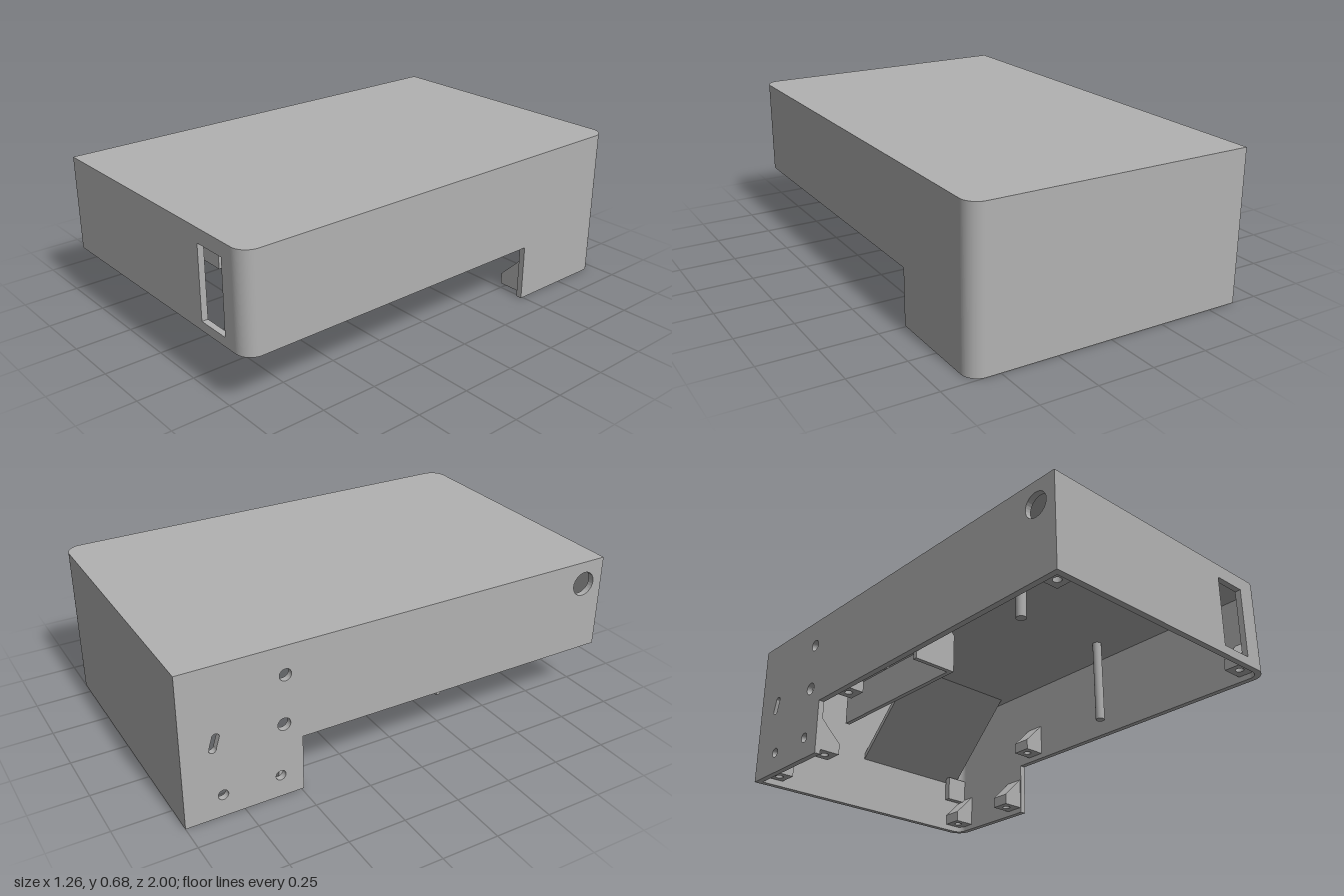
import * as THREE from 'three';

const grey = new THREE.MeshStandardMaterial({ color: 0xb2b2b2, side: THREE.DoubleSide });
grey.name = 'housing grey';

const W = 0.63, L = 1, TOP = 0.675, ROOF = 0.645, STEP = 0.25, STEP_Z = -0.49;
const T = 0.027, R = 0.07;

function poly(points) {
  return new THREE.Shape(points.map(([x, y]) => new THREE.Vector2(x, y)));
}

function circle(x, y, r) {
  return new THREE.Path().absarc(x, y, r, 0, Math.PI * 2, true);
}

function extrude(shape, depth) {
  return new THREE.ExtrudeGeometry(shape, { depth, bevelEnabled: false, curveSegments: 14 });
}

export function createModel() {
  const model = new THREE.Group();
  model.name = 'openBottomHousing';

  const add = (name, geometry, x = 0, y = 0, z = 0, parent = model) => {
    const mesh = new THREE.Mesh(geometry, grey);
    mesh.name = name;
    mesh.position.set(x, y, z);
    parent.add(mesh);
    return mesh;
  };
  // Shape drawn as (z, y), thickened towards -x
  const sideways = (shape, depth) => extrude(shape, depth).rotateY(-Math.PI / 2);
  // Shape drawn as (x, -z), thickened upwards
  const upward = (shape, depth) => extrude(shape, depth).rotateX(-Math.PI / 2);

  // Roof with two rounded corners
  const roof = new THREE.Shape();
  roof.moveTo(-W, -L);
  roof.lineTo(W - R, -L);
  roof.absarc(W - R, -L + R, R, -Math.PI / 2, 0, false);
  roof.absarc(W - R, L - R, R, 0, Math.PI / 2, false);
  roof.lineTo(-W, L);
  roof.closePath();
  add('roof', upward(roof, TOP - ROOF), 0, ROOF, 0);

  // Stepped side walls
  const sideProfile = (end) => poly([
    [-end, 0], [STEP_Z, 0], [STEP_Z, STEP], [end, STEP], [end, ROOF], [-end, ROOF],
  ]);
  add('plainSideWall', sideways(sideProfile(L - R), T), W);

  const drilled = sideProfile(L);
  const drillings = [
    [0.9, 0.57, 0.055], [-0.56, 0.55, 0.026], [-0.57, 0.333, 0.028],
    [-0.59, 0.1, 0.022], [-0.837, 0.1, 0.022],
  ];
  for (const [z, y, r] of drillings) drilled.holes.push(circle(z, y, r));
  const slot = new THREE.Path();
  slot.absarc(-0.855, 0.37, 0.016, 0, Math.PI, false);
  slot.absarc(-0.87, 0.32, 0.016, Math.PI, Math.PI * 2, false);
  slot.closePath();
  drilled.holes.push(slot);
  add('drilledSideWall', sideways(drilled, T), -W + T);

  // Front wall with a window, and tall back wall
  const x0 = -W + T, x1 = W - R;
  const front = poly([[x0, STEP], [x1, STEP], [x1, ROOF], [x0, ROOF]]);
  front.holes.push(poly([[0.34, 0.29], [0.34, 0.612], [0.495, 0.612], [0.495, 0.29]]));
  add('frontWall', extrude(front, T), 0, 0, L - T);
  add('backWall', extrude(poly([[x0, 0], [x1, 0], [x1, ROOF], [x0, ROOF]]), T), 0, 0, -L);

  // Rounded corners between walls
  for (const [name, side, bottom] of [['backCorner', 1, 0], ['frontCorner', -1, STEP]]) {
    const start = side > 0 ? 0 : -Math.PI / 2;
    const ring = new THREE.Shape();
    ring.absarc(0, 0, R, start, start + Math.PI / 2, false);
    ring.absarc(0, 0, R - T, start + Math.PI / 2, start, true);
    ring.closePath();
    add(name, upward(ring, ROOF - bottom), W - R, bottom, -side * (L - R));
  }

  // Screw tabs with a sloped support above each
  const tabBase = poly([[0, -0.045], [0.1, -0.045], [0.1, 0.045], [0, 0.045]]);
  tabBase.holes.push(circle(0.055, 0, 0.018));
  const baseGeometry = upward(tabBase, 0.05);
  const wedgeGeometry = extrude(poly([[0, 0.05], [0.1, 0.05], [0, 0.15]]), 0.09);
  const tabs = [[0.025, -0.92], [0.025, -0.54], [0.275, -0.38], [0.275, 0.92]];
  for (const side of [-1, 1]) {
    for (const [y, z] of tabs) {
      const tab = new THREE.Group();
      tab.name = 'screwTab';
      tab.position.set(side * (W - T), y, z);
      if (side > 0) tab.rotation.y = Math.PI;
      add('tabBase', baseGeometry, 0, 0, 0, tab);
      add('tabSupport', wedgeGeometry, 0, 0, -0.045, tab);
      model.add(tab);
    }
  }

  // Round posts hanging from the roof
  const post = new THREE.CylinderGeometry(0.021, 0.021, ROOF - STEP, 20);
  for (const [x, z] of [[-0.48, 0.66], [0.46, 0.2]]) add('post', post, x, (ROOF + STEP) / 2, z);

  // Rib behind the front wall
  add('frontRib', new THREE.BoxGeometry(0.74, 0.165, 0.025), -0.03, 0.5625, 0.9);

  // Side bracket: long panel, end plate and triangular gussets
  add('bracketPanel', new THREE.BoxGeometry(0.02, 0.17, 0.75), -0.42, 0.305, -0.195);
  add('bracketEnd', new THREE.BoxGeometry(0.195, 0.17, 0.02), -0.5075, 0.305, 0.17);
  const gusset = extrude(poly([[0, 0], [0.19, 0], [0, 0.25]]), 0.02);
  for (const z of [0.16, -0.06, -0.28]) add('gusset', gusset, -W + T, 0.39, z);

  // Sloped plate inside the back, behind the window
  const slope = poly([[-0.973, 0.26], [-0.59, ROOF], [-0.62, ROOF], [-0.973, 0.29]]);
  add('slopedPlate', sideways(slope, 0.6), 0.56);

  // Pillar beside the rear corner
  add('rearPillar', new THREE.BoxGeometry(0.11, 0.12, 0.03), 0.547, 0.22, -0.95);

  return model;
}
